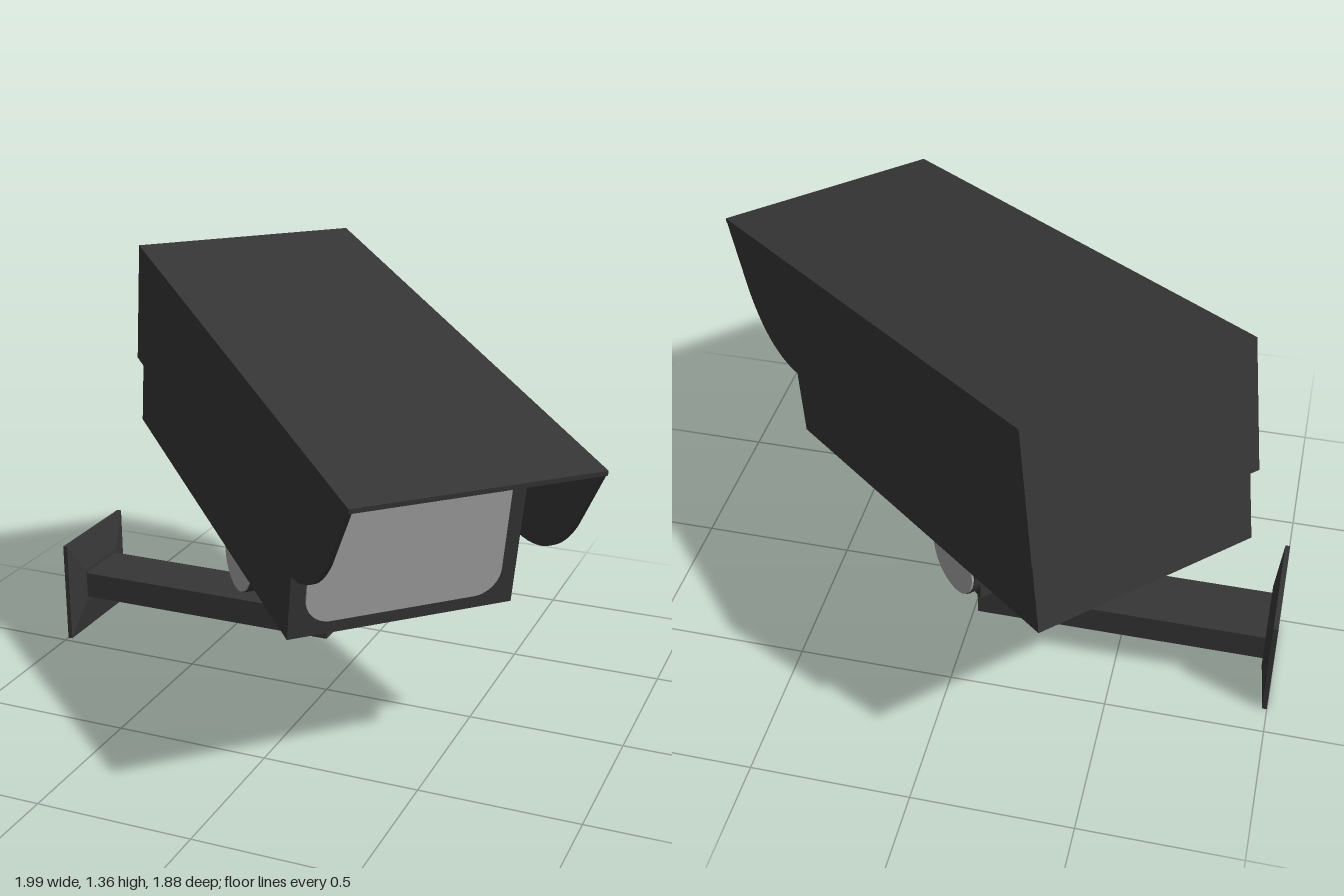
import * as THREE from 'three';
import { toCreasedNormals } from 'three/addons/utils/BufferGeometryUtils.js';

const dark = new THREE.MeshStandardMaterial({ color: 0x363636 });
dark.name = 'charcoal';
const grey = new THREE.MeshStandardMaterial({ color: 0xa6a6a6 });
grey.name = 'light grey';

function add(parent, name, geometry, material, x = 0, y = 0, z = 0) {
  const mesh = new THREE.Mesh(geometry, material);
  mesh.name = name;
  mesh.position.set(x, y, z);
  parent.add(mesh);
  return mesh;
}

const box = (w, h, d) => new THREE.BoxGeometry(w, h, d);

// Plate drawn in the (z, y) plane, with its thickness centred on x
function sidePlate(shape, thickness) {
  const g = new THREE.ExtrudeGeometry(shape, { depth: thickness, bevelEnabled: false, curveSegments: 24 });
  g.translate(0, 0, -thickness / 2);
  g.rotateY(-Math.PI / 2);
  return g;
}

function roundedRect(w, h, r) {
  const s = new THREE.Shape();
  s.absarc(w / 2 - r, h / 2 - r, r, 0, Math.PI / 2);
  s.absarc(-w / 2 + r, h / 2 - r, r, Math.PI / 2, Math.PI);
  s.absarc(-w / 2 + r, -h / 2 + r, r, Math.PI, Math.PI * 1.5);
  s.absarc(w / 2 - r, -h / 2 + r, r, Math.PI * 1.5, Math.PI * 2);
  s.closePath();
  return s;
}

// Hood cheek with the curved visor cut
function cheekShape() {
  const s = new THREE.Shape();
  s.moveTo(-1.84, -0.42);
  s.lineTo(-0.39, -0.42);
  s.bezierCurveTo(-0.27, -0.41, -0.17, -0.36, -0.1, -0.23);
  s.lineTo(-0.006, -0.015);
  s.lineTo(-1.84, -0.015);
  s.closePath();
  return s;
}

// Hinge lug: wide at the housing, rounded around the pivot at (0, 0)
function lugShape(r) {
  const s = new THREE.Shape();
  s.moveTo(0.225, 0.19);
  s.lineTo(-0.205, 0.19);
  s.lineTo(-r * 0.94, -r * 0.34);
  s.absarc(0, 0, r, Math.PI * 1.11, Math.PI * 1.89);
  s.closePath();
  return s;
}

function disc(r, thickness) {
  const g = new THREE.CylinderGeometry(r, r, thickness, 40);
  g.rotateZ(Math.PI / 2);
  return g;
}

function createCamera() {
  // Origin at the front top edge of the hood
  const cam = new THREE.Group();
  cam.name = 'cameraHead';
  cam.rotation.set(THREE.MathUtils.degToRad(10), Math.PI / 4, 0, 'YXZ');
  cam.position.set(0.72, 1.04, 0.67);

  // Hood
  add(cam, 'hoodTop', box(0.764, 0.015, 1.84), dark, 0, -0.0075, -0.92);
  add(cam, 'hoodBack', box(0.736, 0.405, 0.02), dark, 0, -0.2175, -1.83);
  for (const side of [-1, 1]) {
    add(cam, 'hoodCheek', sidePlate(cheekShape(), 0.014), dark, side * 0.375, 0, 0);
  }

  // Housing and window
  add(cam, 'housing', box(0.735, 0.635, 1.442), dark, 0, -0.3375, -1.096);
  const glass = new THREE.ExtrudeGeometry(roundedRect(0.635, 0.56, 0.085),
    { depth: 0.006, bevelEnabled: false, curveSegments: 10 });
  add(cam, 'window', glass, grey, 0, -0.33, -0.375);

  // Hinge lugs with pivot caps
  for (const side of [-1, 1]) {
    const lug = new THREE.Group();
    lug.name = 'hingeLug';
    lug.position.set(0, -0.837, -1.116);
    cam.add(lug);
    add(lug, 'lugOuter', sidePlate(lugShape(0.118), 0.012), dark, side * 0.238);
    add(lug, 'lugInner', sidePlate(lugShape(0.114), 0.012), grey, side * 0.226);
    add(lug, 'pivotBoss', disc(0.119, 0.028), dark, side * 0.23);
    add(lug, 'pivotCap', disc(0.116, 0.008), grey, side * 0.247);
  }
  return cam;
}

function createMount() {
  const mount = new THREE.Group();
  mount.name = 'wallMount';

  // Hinge block and swivel
  add(mount, 'hingeBlock', box(0.438, 0.14, 0.23), dark, -0.16, 0.39, -0.21).rotation.y = Math.PI / 4;
  const profile = [[0, 0.2], [0.065, 0.2], [0.065, 0.272], [0.085, 0.275], [0.1, 0.288], [0.1, 0.322], [0, 0.322]]
    .map(([r, y]) => new THREE.Vector2(r, y));
  add(mount, 'swivel', toCreasedNormals(new THREE.LatheGeometry(profile, 32), 0.5), grey, -0.16, 0, -0.21);

  // Arm with a small cover let into its underside
  add(mount, 'arm', box(0.93, 0.09, 0.207), dark, -0.51, 0.175, -0.212);
  add(mount, 'armCover', new THREE.CylinderGeometry(0.075, 0.075, 0.006, 24, 1, false, Math.PI / 2, Math.PI),
    grey, -0.42, 0.131, -0.11);

  // Wall plate with a tapered face
  add(mount, 'wallPlate', box(0.015, 0.35, 0.385), dark, -0.9925, 0.175, -0.2125);
  const taper = box(0.02, 0.35, 0.385);
  const p = taper.attributes.position;
  for (let i = 0; i < p.count; i++) {
    if (p.getX(i) > 0) p.setXYZ(i, p.getX(i), p.getY(i) * 0.35, p.getZ(i) * 0.6);
  }
  const flat = taper.toNonIndexed();
  flat.computeVertexNormals();
  add(mount, 'wallPlateTaper', flat, dark, -0.975, 0.175, -0.2125);
  return mount;
}

export function createModel() {
  const model = new THREE.Group();
  model.name = 'securityCamera';
  model.add(createCamera(), createMount());
  return model;
}
